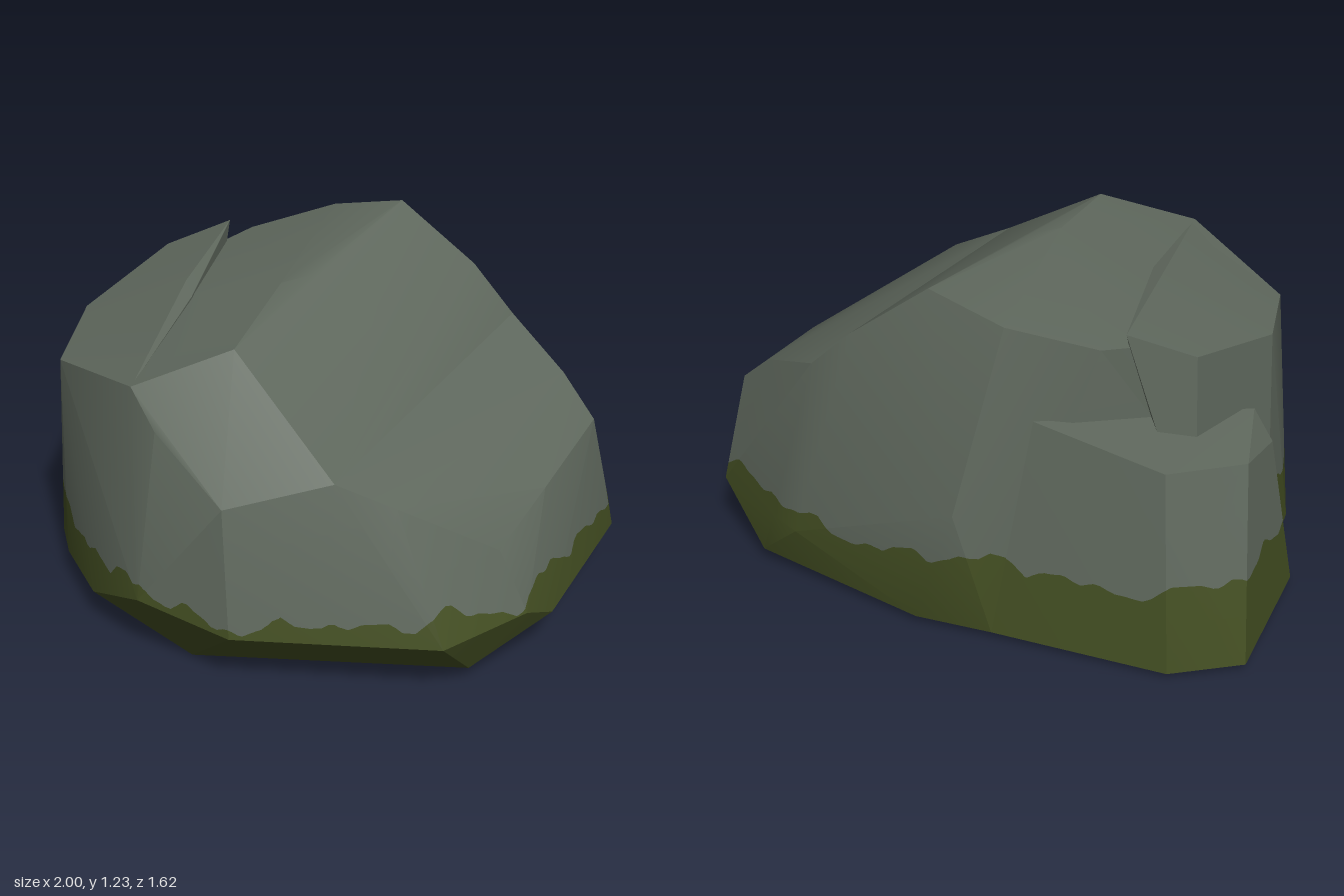
import * as THREE from 'three';
import { ConvexGeometry } from 'three/addons/geometries/ConvexGeometry.js';
import { toCreasedNormals } from 'three/addons/utils/BufferGeometryUtils.js';

const rock = new THREE.MeshStandardMaterial({ color: 0x5f685d });
rock.name = 'grey stone';
const moss = new THREE.MeshStandardMaterial({ color: 0x434e22 });
moss.name = 'moss green';

// Wavy upper limit of the moss around the stone
function mossLine(x, z) {
  const a = Math.atan2(z, x);
  const clump = 0.1 * Math.exp(-((x - 0.78) ** 2 + (z - 0.52) ** 2) / 0.012);
  return 0.305 + clump + 0.022 * Math.sin(7 * a + 1) + 0.018 * Math.sin(17 * a)
    + 0.012 * Math.sin(31 * a + 2) + 0.006 * Math.sin(59 * a);
}

const mix = (a, b, t) => a.map((v, i) => v + (b[i] - v) * t);
const height = (v) => v[1] - mossLine(v[0], v[2]);

// Keep the part of a triangle on one side of the moss line
function clip(tri, sign, out) {
  const poly = [];
  tri.forEach((a, i) => {
    const b = tri[(i + 1) % 3];
    const da = height(a) * sign, db = height(b) * sign;
    if (da >= 0) poly.push(a);
    if ((da >= 0) !== (db >= 0)) poly.push(mix(a, b, da / (da - db)));
  });
  for (let i = 2; i < poly.length; i++) out.push(poly[0], poly[i - 1], poly[i]);
}

// Halve triangles crossing the moss band until they are fine, then clip them
function divide(tri, above, below) {
  const ys = tri.map((v) => v[1]);
  if (Math.min(...ys) > 0.48) { above.push(...tri); return; }
  if (Math.max(...ys) < 0.22) { below.push(...tri); return; }
  const len = tri.map((a, i) => {
    const b = tri[(i + 1) % 3];
    return Math.hypot(a[0] - b[0], a[1] - b[1], a[2] - b[2]);
  });
  const k = len.indexOf(Math.max(...len));
  if (len[k] < 0.045) {
    clip(tri, 1, above);
    clip(tri, -1, below);
    return;
  }
  const a = tri[k], b = tri[(k + 1) % 3], c = tri[(k + 2) % 3], m = mix(a, b, 0.5);
  divide([a, m, c], above, below);
  divide([m, b, c], above, below);
}

function surface(verts, material, name) {
  const g = new THREE.BufferGeometry();
  g.setAttribute('position', new THREE.Float32BufferAttribute(verts.flatMap((v) => v.slice(0, 3)), 3));
  g.setAttribute('normal', new THREE.Float32BufferAttribute(verts.flatMap((v) => v.slice(3)), 3));
  g.normalizeNormals();
  const mesh = new THREE.Mesh(g, material);
  mesh.name = name;
  return mesh;
}

// A faceted chunk of stone with moss around its foot
function chunk(name, corners) {
  const hull = toCreasedNormals(new ConvexGeometry(corners.map((c) => new THREE.Vector3(...c))), 0.4);
  const p = hull.attributes.position, n = hull.attributes.normal;
  const vert = (i) => [p.getX(i), p.getY(i), p.getZ(i), n.getX(i), n.getY(i), n.getZ(i)];
  const above = [], below = [];
  for (let i = 0; i < p.count; i += 3) divide([vert(i), vert(i + 1), vert(i + 2)], above, below);
  const group = new THREE.Group();
  group.name = name;
  group.add(surface(above, rock, name + 'Stone'), surface(below, moss, name + 'Moss'));
  return group;
}

export function createModel() {
  const model = new THREE.Group();
  model.name = 'mossyBoulder';

  // Right-hand foot, shared by the body and the shoulder
  const foot = [
    [0.14, 0.25, 0.81], [0.8, 0.26, 0.57], [0.97, 0.27, 0.26], [1, 0.18, 0.09], [1, 0.19, -0.52],
    [0.95, 0.24, -0.61], [0.67, 0.25, -0.75], [0.55, 0.25, -0.8],
    [0.81, 0.06, 0.36], [0.85, 0.06, -0.35], [0.75, 0.05, -0.7], [0.1, 0.03, -0.79],
  ];

  // Main body with the summit ridge
  model.add(chunk('body', [
    ...foot,
    [0.09, 1.23, -0.65], [0.01, 1.165, -0.07], [-0.06, 1.16, 0.02], [-0.03, 1.1, 0.42],
    [-0.18, 1.16, -0.66], [-0.45, 1.07, -0.52], [-0.82, 0.92, 0.05], [-0.73, 0.88, 0.38],
    [-0.32, 0.98, 0.6], [-0.2, 0.87, 0.66], [0.09, 0.7, 0.75], [0.41, 0.79, 0.58],
    [0.36, 1.02, -0.69], [0.52, 0.86, -0.68], [-0.06, 0.5, -0.81],
    [-0.22, 0.28, 0.78], [-0.5, 0.13, 0.61], [-0.73, 0.11, 0.4], [-0.85, 0.08, 0.24],
    [-0.87, 0.015, 0], [-0.1, 0, 0.63], [-0.17, 0.03, -0.76],
  ]));

  // Lower shoulder making the slope hollow
  model.add(chunk('shoulder', [
    ...foot,
    [0.41, 0.79, 0.58], [0.6, 0.71, 0.51], [0.52, 0.86, -0.68], [0.77, 0.74, -0.55],
    [0.91, 0.61, -0.5], [0.9, 0.57, -0.05], [0.87, 0.5, 0.28],
  ]));

  // Raised slab on the top
  model.add(chunk('crown', [
    [-0.82, 0.92, 0.05], [-0.73, 0.88, 0.38], [-0.71, 1.02, -0.35], [-0.51, 1.11, -0.46],
    [-0.44, 1.08, 0], [-0.38, 1.06, 0.07], [-0.32, 0.98, 0.59],
    [-0.87, 0.02, 0], [-0.75, 0.3, -0.4], [-0.4, 0.5, 0],
  ]));

  // Split-off ledge at the back corner
  model.add(chunk('ledge', [
    [-1, 0.03, -0.555], [-0.97, 0.03, -0.04], [-0.87, 0.02, -0.02], [-0.78, 0.02, -0.7],
    [-0.17, 0.03, -0.76], [-0.91, 0.69, -0.38], [-0.9, 0.62, -0.12], [-0.82, 0.71, -0.09],
    [-0.72, 0.74, -0.62], [-0.28, 0.84, -0.66], [-0.3, 0.4, -0.3],
  ]));

  return model;
}
